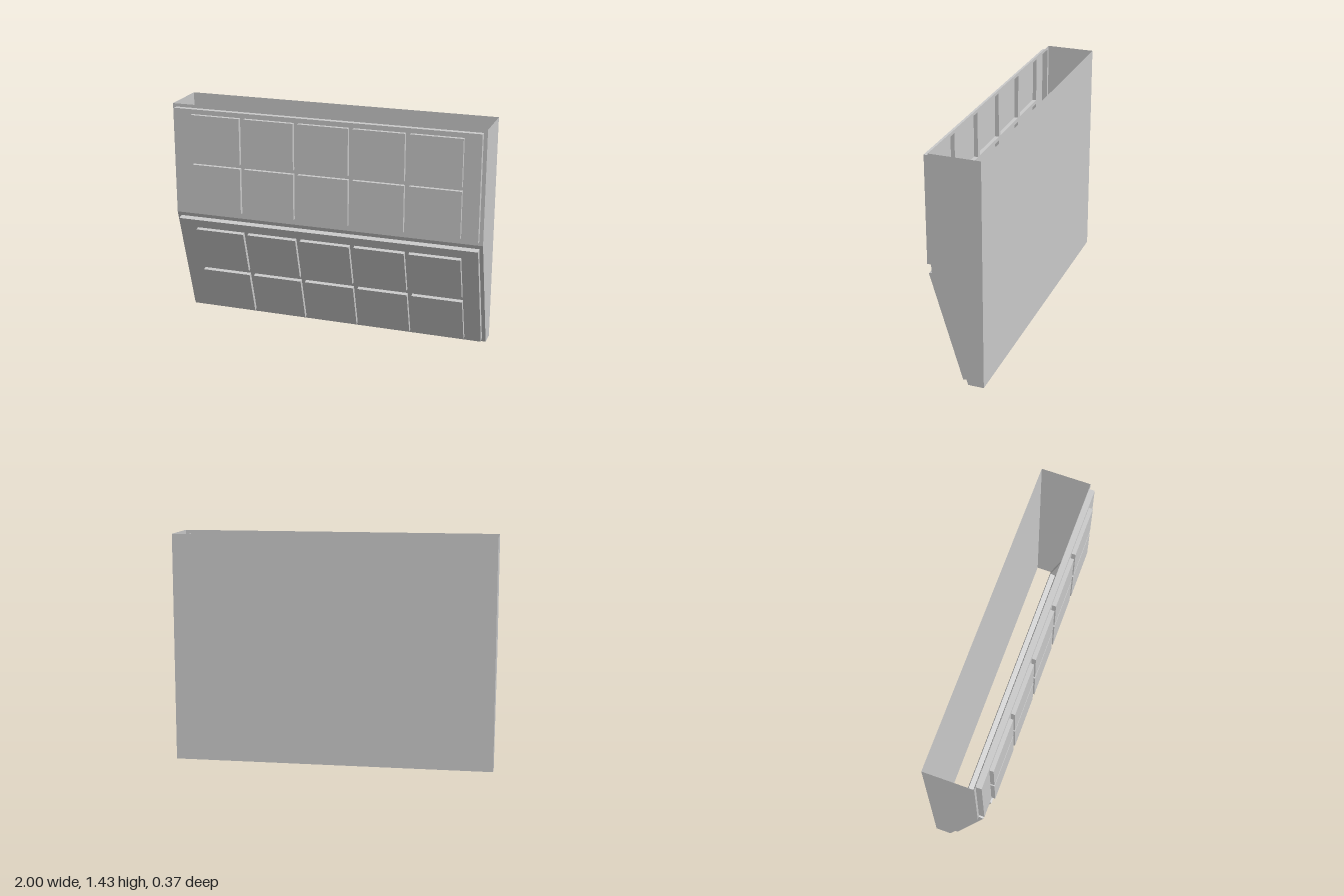
import * as THREE from 'three';

const material = new THREE.MeshStandardMaterial({ color: 0xcccccc, flatShading: true, side: THREE.DoubleSide });
const BACK = -0.185, FRONT = 0.125, FOOT = -0.087, KINK = 0.715, TOP = 1.43;
const FRAME_DEPTH = 0.035, PANEL_DEPTH = 0.025;

function add(parent, name, geometry) {
  const mesh = new THREE.Mesh(geometry, material);
  mesh.name = name;
  parent.add(mesh);
  return mesh;
}

// rectangles are [x0, x1, y0, y1]
function corners([x0, x1, y0, y1]) {
  return [[x0, y0], [x1, y0], [x1, y1], [x0, y1]].map(([x, y]) => new THREE.Vector2(x, y));
}

// flat sheet with rectangular openings
function sheet(rect, openings) {
  const shape = new THREE.Shape(corners(rect));
  shape.holes = openings.map((o) => new THREE.Path(corners(o)));
  return new THREE.ShapeGeometry(shape);
}

// hollow raised box, open behind; the front cap is optional
function raised([x0, x1, y0, y1], z, depth, capped) {
  const box = new THREE.BoxGeometry(x1 - x0, y1 - y0, depth);
  box.setIndex(Array.from(box.index.array).slice(0, capped ? 30 : 24));
  return box.translate((x0 + x1) / 2, (y0 + y1) / 2, z + depth / 2);
}

// one front wall: sheet, raised field and two rows of five raised panels
function frontWall(name, height, field, rows) {
  const wall = new THREE.Group();
  wall.name = name;
  const fieldRect = [-0.977, 0.977, ...field];
  const panels = [];
  for (const row of rows) {
    for (let i = 0; i < 5; i++) {
      const x = -0.855 + i * 0.3515;
      panels.push([x, x + 0.322, ...row]);
    }
  }
  add(wall, 'wallSheet', sheet([-1, 1, 0, height], [fieldRect]));
  add(wall, 'fieldEdge', raised(fieldRect, 0, FRAME_DEPTH, false));
  add(wall, 'fieldFace', sheet(fieldRect, panels).translate(0, 0, FRAME_DEPTH));
  for (const p of panels) add(wall, 'panel', raised(p, FRAME_DEPTH, PANEL_DEPTH, true));
  return wall;
}

export function createModel() {
  const model = new THREE.Group();
  model.name = 'panelledBox';

  // upright upper front
  const upper = frontWall('upperFront', TOP - KINK, [0.025, 0.695], [[0.05, 0.345], [0.37, 0.665]]);
  upper.position.set(0, KINK, FRONT);
  model.add(upper);

  // lower front, leaning back towards the foot
  const slant = Math.hypot(FRONT - FOOT, KINK);
  const lower = frontWall('lowerFront', slant, [0.025, 0.721], [[0.049, 0.343], [0.374, 0.664]]);
  lower.position.set(0, 0, FOOT);
  lower.rotation.x = Math.atan2(FRONT - FOOT, KINK);
  model.add(lower);

  // back wall; the top and bottom stay open
  const back = add(model, 'backWall', new THREE.PlaneGeometry(2, TOP));
  back.position.set(0, TOP / 2, BACK);
  back.rotation.y = Math.PI;

  // side walls
  const profile = [[BACK, 0], [FOOT, 0], [FRONT, KINK], [FRONT, TOP], [BACK, TOP]];
  for (const side of [-1, 1]) {
    const shape = new THREE.Shape(profile.map(([z, y]) => new THREE.Vector2(-side * z, y)));
    const wall = add(model, side > 0 ? 'leftWall' : 'rightWall', new THREE.ShapeGeometry(shape));
    wall.rotation.y = side * Math.PI / 2;
    wall.position.x = side;
  }
  return model;
}
